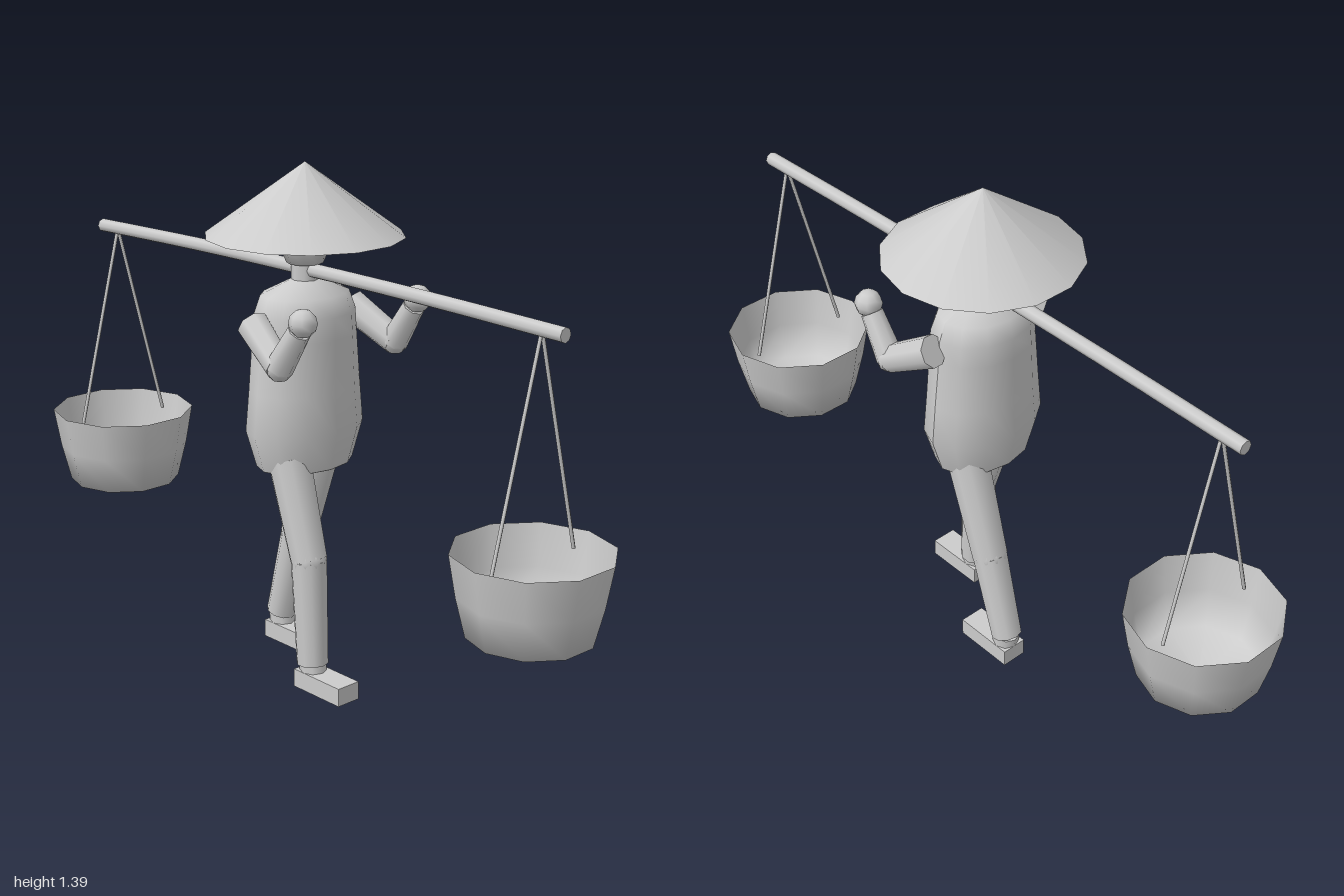
import * as THREE from 'three';

const grey = new THREE.MeshStandardMaterial({ color: 0xcccccc });
const thin = new THREE.MeshStandardMaterial({ color: 0xcccccc, side: THREE.DoubleSide });
const V = (x, y, z) => new THREE.Vector3(x, y, z);

export function createModel() {
  const model = new THREE.Group();

  const add = (name, geometry, material = grey, parent = model) => {
    const mesh = new THREE.Mesh(geometry, material);
    mesh.name = name;
    parent.add(mesh);
    return mesh;
  };

  // Tapered round bar between two points
  const limb = (name, a, b, ra, rb, sides = 10, parent = model) => {
    const mesh = add(name, new THREE.CylinderGeometry(rb, ra, a.distanceTo(b), sides), grey, parent);
    mesh.position.copy(a).lerp(b, 0.5);
    mesh.quaternion.setFromUnitVectors(V(0, 1, 0), b.clone().sub(a).normalize());
    return mesh;
  };

  // Turned shape from [radius, height] pairs, corners lying on the x axis
  const turned = (profile, sides) =>
    new THREE.LatheGeometry(profile.map(([r, y]) => new THREE.Vector2(r, y)), sides).rotateY(Math.PI / 2);

  // Wide conical hat
  const hat = add('hat', new THREE.ConeGeometry(0.262, 0.19, 14).rotateY(Math.PI / 2));
  hat.position.y = 1.295;

  // Head and neck
  add('head', turned([[0, 1.12], [0.048, 1.128], [0.071, 1.18], [0.075, 1.22], [0.05, 1.27], [0, 1.285]], 8));
  limb('neck', V(0, 1.05, 0), V(0, 1.15, 0), 0.036, 0.036, 8);

  // Shirt, flattened front to back and a little deeper at the chest
  const shirt = turned([[0, 0.588], [0.143, 0.588], [0.145, 0.59], [0.176, 0.69], [0.166, 0.8],
    [0.151, 0.94], [0.147, 1.0], [0.128, 1.05], [0.045, 1.085], [0, 1.087]], 12);
  const p = shirt.attributes.position;
  for (let i = 0; i < p.count; i++) p.setZ(i, p.getZ(i) * (p.getY(i) > 0.9 ? 0.78 : 0.71));
  shirt.computeVertexNormals();
  add('shirt', shirt);

  // Raised arms with fists
  for (const s of [1, -1]) {
    const arm = new THREE.Group();
    arm.name = s > 0 ? 'leftArm' : 'rightArm';
    model.add(arm);
    const elbow = V(s * 0.203, 0.91, 0.13);
    limb('upperArm', V(s * 0.172, 0.988, -0.005), elbow, 0.044, 0.038, 8, arm);
    add('elbow', new THREE.SphereGeometry(0.037, 8, 6), grey, arm).position.copy(elbow);
    limb('forearm', elbow, V(s * 0.2, 1.015, 0.2), 0.037, 0.03, 8, arm);
    const fist = add('fist', new THREE.SphereGeometry(0.037, 8, 6), grey, arm);
    fist.position.set(s * 0.2, 1.038, 0.213);
  }

  // Striding legs: right forward, left behind
  const legs = [
    { name: 'rightLeg', x: -0.083, hip: [0.62, 0.03], knee: [0.36, 0.107], cuff: [0.07, 0.122], foot: 0.175 },
    { name: 'leftLeg', x: 0.08, hip: [0.62, -0.025], knee: [0.33, -0.115], cuff: [0.08, -0.185], foot: -0.13 },
  ];
  for (const { name, x, hip, knee, cuff, foot } of legs) {
    const leg = new THREE.Group();
    leg.name = name;
    model.add(leg);
    const k = V(x, ...knee), c = V(x, ...cuff);
    limb('thigh', V(x, ...hip), k, 0.058, 0.05, 10, leg);
    add('knee', new THREE.SphereGeometry(0.049, 10, 8), grey, leg).position.copy(k);
    limb('trouserLeg', k, c, 0.049, 0.043, 10, leg);
    limb('ankle', c, V(x, 0.035, cuff[1] + 0.005), 0.036, 0.036, 8, leg);
    add('foot', new THREE.BoxGeometry(0.072, 0.05, 0.174), grey, leg).position.set(x, 0.025, foot);
  }

  // Carrying pole, sagging slightly at both ends
  const bend = [-0.875, -0.44, 0, 0.44, 0.875].map((z) => V(0, 1.112 - 0.016 * z * z, z));
  add('pole', new THREE.TubeGeometry(new THREE.CatmullRomCurve3(bend), 12, 0.019, 8));
  for (const s of [1, -1]) {
    const end = add('poleEnd', new THREE.CircleGeometry(0.019, 8));
    end.position.set(0, bend[0].y, s * 0.875);
    end.rotation.y = s > 0 ? 0 : Math.PI;
  }

  // Hanging buckets with their cords
  for (const s of [1, -1]) {
    const load = new THREE.Group();
    load.name = s > 0 ? 'frontLoad' : 'backLoad';
    load.position.z = s * 0.805;
    model.add(load);
    add('bucket', turned([[0, 0.328], [0.16, 0.345], [0.186, 0.45], [0.205, 0.56]], 10), thin, load);
    for (const side of [1, -1])
      limb('cord', V(0, 1.1, 0), V(side * 0.148, 0.53, 0), 0.005, 0.005, 6, load);
  }

  return model;
}
